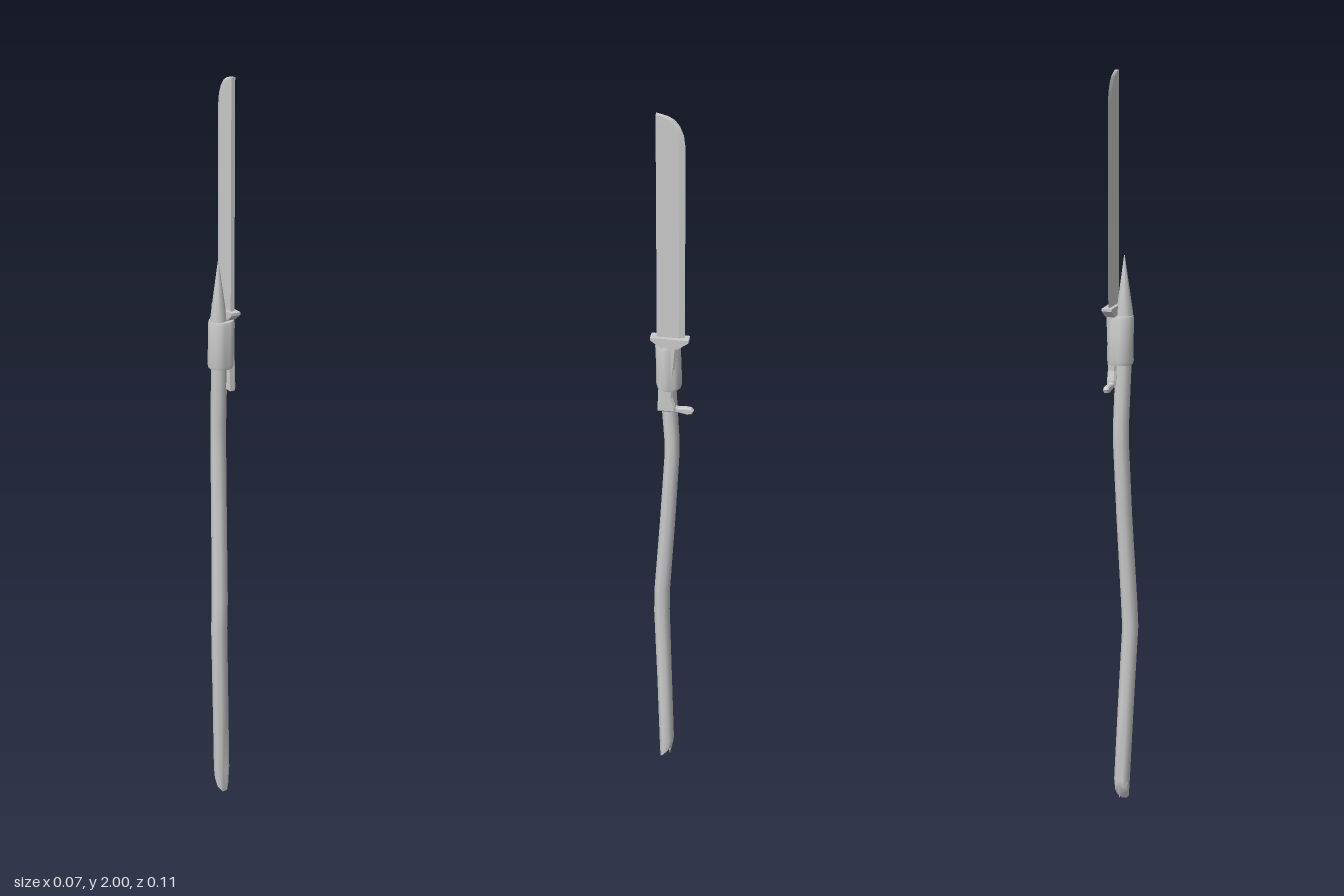
import * as THREE from 'three';
import { toCreasedNormals } from 'three/addons/utils/BufferGeometryUtils.js';

const grey = new THREE.MeshStandardMaterial({ color: 0xcccccc });

// Capped loft through horizontal elliptical rings [x, y, z, rx, rz, tilt in z].
function loft(rings, sides, crease) {
  const pos = [], idx = [];
  for (const [x, y, z, rx, rz, tilt = 0] of rings) {
    for (let i = 0; i < sides; i++) {
      const a = ((i + 0.5) / sides) * Math.PI * 2;
      const dz = Math.cos(a) * rz;
      pos.push(x + Math.sin(a) * rx, y + dz * tilt, z + dz);
    }
  }
  for (let r = 0; r < rings.length - 1; r++) {
    for (let i = 0; i < sides; i++) {
      const a = r * sides + i, b = r * sides + (i + 1) % sides;
      idx.push(a, b, b + sides, a, b + sides, a + sides);
    }
  }
  const top = (rings.length - 1) * sides;
  for (let i = 1; i < sides - 1; i++) {
    idx.push(0, i + 1, i, top, top + i, top + i + 1);
  }
  const g = new THREE.BufferGeometry();
  g.setAttribute('position', new THREE.Float32BufferAttribute(pos, 3));
  g.setIndex(idx);
  return toCreasedNormals(g, crease);
}

// Extrude a (z, y) outline across x, centred on x = cx.
function plate(points, width, cx, bevel = 0) {
  const shape = new THREE.Shape(points.map(([z, y]) => new THREE.Vector2(-z, y)));
  const g = new THREE.ExtrudeGeometry(shape, {
    depth: width - 2 * bevel, bevelEnabled: bevel > 0, bevelThickness: bevel,
    bevelSize: bevel, bevelOffset: -bevel, bevelSegments: 1,
  });
  g.translate(0, 0, -width / 2 + bevel);
  g.rotateY(Math.PI / 2);
  g.translate(cx, 0, 0);
  return g;
}

// Blade: thick spine at +z, sharpened edge at -z, rounded tip.
function bladeGeometry() {
  const pos = [], idx = [];
  const levels = [[1.4, -0.034], [1.92, -0.034], [1.95, -0.03], [1.972, -0.021],
    [1.988, -0.008], [1.996, 0.008], [2, 0.026]];
  const cx = 0.02, spine = 0.036;
  for (const [y, edge] of levels) {
    const bevel = Math.min(edge + 0.014, spine - 0.004);
    pos.push(cx - 0.0055, y, spine, cx + 0.0055, y, spine,
      cx + 0.004, y, bevel, cx, y, edge, cx - 0.004, y, bevel);
  }
  for (let r = 0; r < levels.length - 1; r++) {
    for (let i = 0; i < 5; i++) {
      const a = r * 5 + i, b = r * 5 + (i + 1) % 5;
      idx.push(a, b, b + 5, a, b + 5, a + 5);
    }
  }
  const t = (levels.length - 1) * 5;
  for (let i = 1; i < 4; i++) idx.push(0, i + 1, i, t, t + i, t + i + 1);
  const g = new THREE.BufferGeometry();
  g.setAttribute('position', new THREE.Float32BufferAttribute(pos, 3));
  g.setIndex(idx);
  return toCreasedNormals(g, 0.2);
}

export function createModel() {
  const model = new THREE.Group();
  const add = (name, geometry) => {
    const mesh = new THREE.Mesh(geometry, grey);
    mesh.name = name;
    model.add(mesh);
  };

  // Crooked wooden shaft, broken at the foot and whittled to a point.
  add('shaft', loft([
    [0, 0.027, 0.018, 0.019, 0.019, -1.4],
    [0, 0.07, 0.018, 0.022, 0.021],
    [-0.008, 0.28, 0.025, 0.022, 0.021],
    [-0.018, 0.52, 0.034, 0.022, 0.022],
    [-0.015, 0.6, 0.032, 0.022, 0.022],
    [-0.007, 0.84, 0.015, 0.021, 0.021],
    [-0.002, 1.04, 0.003, 0.021, 0.02],
    [-0.002, 1.1, 0.003, 0.021, 0.02],
    [-0.005, 1.24, 0.012, 0.021, 0.021],
    [-0.008, 1.39, 0.014, 0.022, 0.021],
    [-0.008, 1.54, 0.012, 0.001, 0.001],
  ], 8, 0.85));

  // Splinter in the broken foot
  const splinter = new THREE.ConeGeometry(0.007, 0.04, 4);
  splinter.rotateX(Math.PI);
  splinter.translate(0.004, 0.032, 0.008);
  add('footSplinter', toCreasedNormals(splinter, 0.4));

  // Oval binding that holds the grip to the shaft
  add('binding', loft([
    [0.002, 1.258, 0.009, 0.033, 0.031],
    [0.002, 1.266, 0.009, 0.035, 0.033],
    [0.002, 1.32, 0.01, 0.034, 0.032],
    [0.002, 1.376, 0.012, 0.035, 0.032],
    [0.002, 1.385, 0.012, 0.033, 0.03],
  ], 16, 0.9));

  add('blade', bladeGeometry());

  // Flared guard
  add('guard', plate([
    [0.052, 1.411], [0.052, 1.404], [0.026, 1.384],
    [-0.018, 1.384], [-0.045, 1.404], [-0.045, 1.411],
  ], 0.027, 0.0205));

  // Grip with its hooked pommel
  add('grip', plate([
    [0.028, 1.39], [0.03, 1.3], [0.033, 1.25], [0.035, 1.196],
    [-0.012, 1.196], [-0.012, 1.215], [-0.005, 1.24], [-0.008, 1.3], [-0.016, 1.39],
  ], 0.024, 0.021, 0.005));
  add('pommelHook', plate([
    [0.0, 1.215], [-0.02, 1.208], [-0.04, 1.21], [-0.052, 1.209], [-0.058, 1.202],
    [-0.054, 1.193], [-0.042, 1.19], [-0.025, 1.193], [0.0, 1.197],
  ], 0.015, 0.02, 0.003));

  return model;
}
